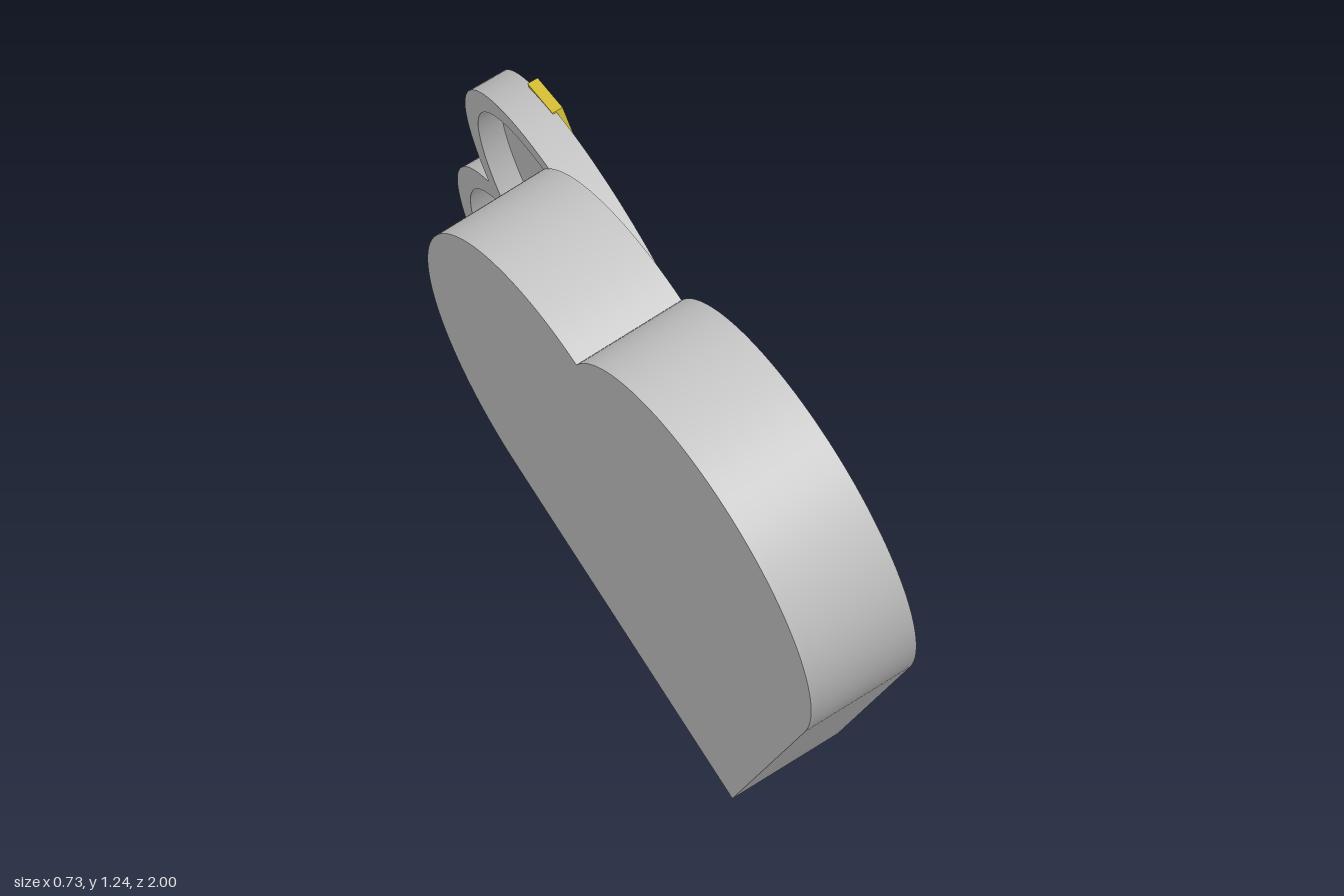
import * as THREE from 'three';
import { toCreasedNormals } from 'three/addons/utils/BufferGeometryUtils.js';

const grey = new THREE.MeshStandardMaterial({ color: 0xcccccc });
const yellow = new THREE.MeshStandardMaterial({ color: 0xe0c838 });

// Heart with its tip at the origin: two lobe arcs joined by tangent lines, shrunk by inset
function heart(inset, Type = THREE.Shape) {
  const cx = 0.258, cy = 0.8, r = 0.399 - inset;
  const notch = Math.acos(-cx / r), end = THREE.MathUtils.degToRad(46.4);
  const s = new Type();
  s.absarc(cx, cy, r, -end, notch, false);
  s.absarc(-cx, cy, r, Math.PI - notch, Math.PI + end, false);
  s.lineTo(0, inset / Math.sin(end));
  s.closePath();
  return s;
}

// Heart-shaped plate, or a ring when inset is above zero
function slab(name, depth, z, inset) {
  const shape = heart(0);
  if (inset) shape.holes.push(heart(inset, THREE.Path));
  const geo = new THREE.ExtrudeGeometry(shape, { depth, bevelEnabled: false, curveSegments: 40 });
  const mesh = new THREE.Mesh(toCreasedNormals(geo, 0.5), grey);
  mesh.name = name;
  mesh.position.z = z;
  return mesh;
}

// Group whose local y runs from heart tip to notch and local z is the outward normal
function frame(name, origin, up, normal) {
  const n = new THREE.Vector3(...normal).normalize();
  const s = new THREE.Vector3(...up).cross(n).normalize();
  const u = n.clone().cross(s);
  const g = new THREE.Group();
  g.name = name;
  g.quaternion.setFromRotationMatrix(new THREE.Matrix4().makeBasis(s, u, n));
  g.position.set(...origin);
  return g;
}

export function createModel() {
  const model = new THREE.Group();
  model.name = 'heartChocolateBox';

  // Box: floor and surrounding wall
  const floorTop = 0.03;
  const box = frame('box', [-0.004, 0.018, 0.345], [-0.295, 0.955, 0], [0.955, 0.295, -0.036]);
  box.add(slab('boxFloor', floorTop, 0, 0), slab('boxWall', 0.235 - floorTop, floorTop, 0.055));

  // Chocolates: balls with a flat underside, in centred rows
  const radius = 0.06, cut = -0.6;
  const profile = [new THREE.Vector2(0, radius * Math.sin(cut))];
  for (let i = 0; i <= 14; i++) {
    const a = cut + (i / 14) * (Math.PI / 2 - cut);
    profile.push(new THREE.Vector2(Math.max(0, radius * Math.cos(a)), radius * Math.sin(a)));
  }
  const chocolate = toCreasedNormals(new THREE.LatheGeometry(profile, 24).rotateX(Math.PI / 2), 0.6);
  const chocolates = new THREE.Group();
  chocolates.name = 'chocolates';
  chocolates.position.set(-0.006, 0, 0.132);
  const step = 0.142;
  const rows = [
    [1.005, [-2.5, -1.5, 1.5, 2.5]],
    [0.87, [-3, -2, -1, 0, 1, 2, 3]],
    [0.713, [-3, -2, -1, 0, 1, 2, 3]],
    [0.556, [-2.5, -1.5, -0.5, 0.5, 1.5, 2.5]],
    [0.415, [-1.5, -0.5, 0.5, 1.5]],
    [0.285, [-0.5, 0.5]],
  ];
  for (const [y, columns] of rows) {
    for (const c of columns) {
      const piece = new THREE.Mesh(chocolate, grey);
      piece.name = 'chocolate';
      piece.position.set(c * step, y, 0);
      chocolates.add(piece);
    }
  }
  box.add(chocolates);

  // Lid: slightly larger heart with a hollow underside, leaning against the box
  const lid = frame('lid', [0.213, 0.108, 0.254], [-0.159, 0.581, -0.802], [0.944, 0.326, 0.049]);
  const lidShell = new THREE.Group();
  lidShell.name = 'lidShell';
  lidShell.scale.set(1.045, 1.05, 1);
  lidShell.add(slab('lidRim', 0.05, 0, 0.045), slab('lidTop', 0.026, 0.05, 0));
  lid.add(lidShell);

  // Ribbon across the lid
  const ribbon = new THREE.Mesh(new THREE.BoxGeometry(0.108, 1.215, 0.022), yellow);
  ribbon.name = 'ribbon';
  ribbon.position.set(-0.099, 0.755, 0.079);
  ribbon.rotation.z = THREE.MathUtils.degToRad(53.1);
  lid.add(ribbon);

  model.add(box, lid);
  return model;
}
